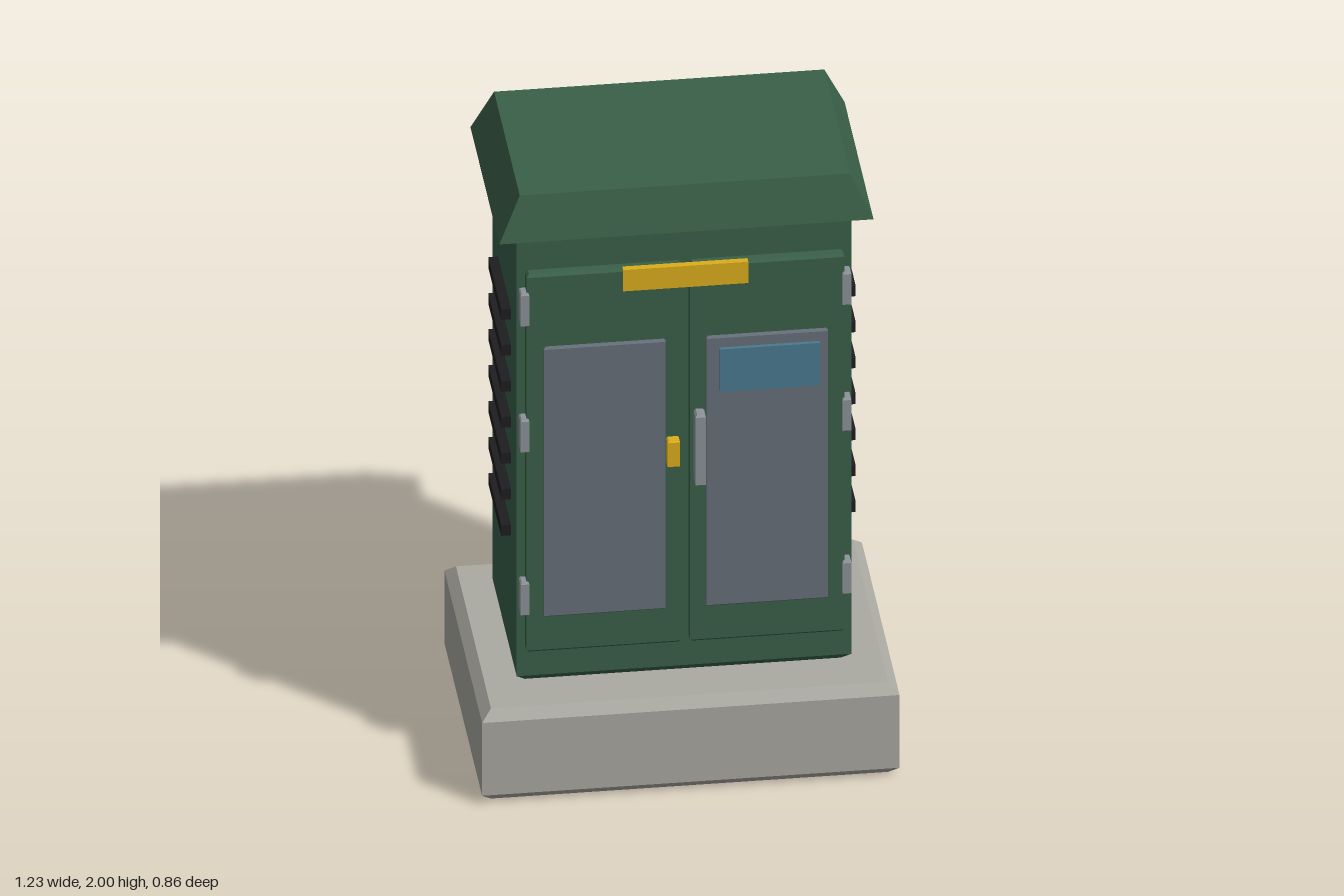
import * as THREE from 'three';

const paint = (color) => new THREE.MeshStandardMaterial({ color, flatShading: true });
const GREEN = paint(0x3a6049), STONE = paint(0xaaa9a2), STEEL = paint(0x667079),
  LIGHT = paint(0x8c9398), BLACK = paint(0x1e1e20), YELLOW = paint(0xdcae1c), BLUE = paint(0x4a7a90);

// Stack of rectangular sections [y, halfWidth, halfDepth], closed at both ends
function loft(sections) {
  const pos = [], idx = [];
  for (const [y, w, d] of sections) pos.push(-w, y, d, w, y, d, w, y, -d, -w, y, -d);
  const n = sections.length;
  for (let s = 0; s < n - 1; s++) {
    for (let i = 0; i < 4; i++) {
      const a = s * 4 + i, b = s * 4 + (i + 1) % 4;
      idx.push(a, b, b + 4, a, b + 4, a + 4);
    }
  }
  const t = (n - 1) * 4;
  idx.push(0, 2, 1, 0, 3, 2, t, t + 1, t + 2, t, t + 2, t + 3);
  const g = new THREE.BufferGeometry();
  g.setAttribute('position', new THREE.Float32BufferAttribute(pos, 3));
  g.setIndex(idx);
  const flat = g.toNonIndexed();
  flat.computeVertexNormals();
  return flat;
}

export function createModel() {
  const model = new THREE.Group();
  model.name = 'utilityCabinet';

  const add = (name, geometry, material, x = 0, y = 0, z = 0) => {
    const mesh = new THREE.Mesh(geometry, material);
    mesh.name = name;
    mesh.position.set(x, y, z);
    model.add(mesh);
  };
  // Block given by its limits, with chamfered top and bottom rims
  const block = (name, material, [x0, x1], [y0, y1], [z0, z1], c = 0) => {
    const w = (x1 - x0) / 2, h = y1 - y0, d = (z1 - z0) / 2;
    const geometry = c
      ? loft([[0, w - c, d - c], [c, w, d], [h - c, w, d], [h, w - c, d - c]])
      : loft([[0, w, d], [h, w, d]]);
    add(name, geometry, material, (x0 + x1) / 2, y0, (z0 + z1) / 2);
  };

  // Plinth, body and flared roof
  block('plinth', STONE, [-0.617, 0.617], [0, 0.31], [-0.432, 0.432], 0.03);
  block('body', GREEN, [-0.495, 0.495], [0.31, 1.862], [-0.278, 0.278], 0.028);
  add('roof', loft([[1.86, 0.553, 0.332], [2, 0.488, 0.294]]), GREEN);

  // Parts mirrored on both sides
  for (const s of [-1, 1]) {
    const side = s > 0 ? 'left' : 'right';
    const span = (a, b) => (s > 0 ? [a, b] : [-b, -a]);
    block(side + 'Door', GREEN, span(0.013, 0.47), [0.435, 1.732], [0.27, 0.31], 0.008);
    block(side + 'DoorPanel', STEEL, span(0.06, 0.42), [0.56, 1.485], [0.3, 0.321], 0.005);
    for (const y of [0.625, 1.185, 1.618]) {
      block(side + 'Hinge', LIGHT, span(0.463, 0.489), [y - 0.056, y + 0.056], [0.276, 0.321], 0.004);
    }
    for (let i = 0; i < 7; i++) {
      const y = 0.762 + i * 0.1237;
      block(side + 'VentSlat', BLACK, span(0.485, 0.524), [y - 0.018, y + 0.018], [-0.148, 0.148]);
    }
  }

  // Door fittings
  block('window', BLUE, [0.098, 0.395], [1.302, 1.448], [0.31, 0.333]);
  block('warningPlate', YELLOW, [-0.185, 0.185], [1.66, 1.733], [0.295, 0.316]);
  block('lock', YELLOW, [-0.057, -0.02], [1.057, 1.147], [0.3, 0.341], 0.004);
  block('handle', LIGHT, [0.024, 0.055], [0.993, 1.237], [0.305, 0.353], 0.006);

  return model;
}
